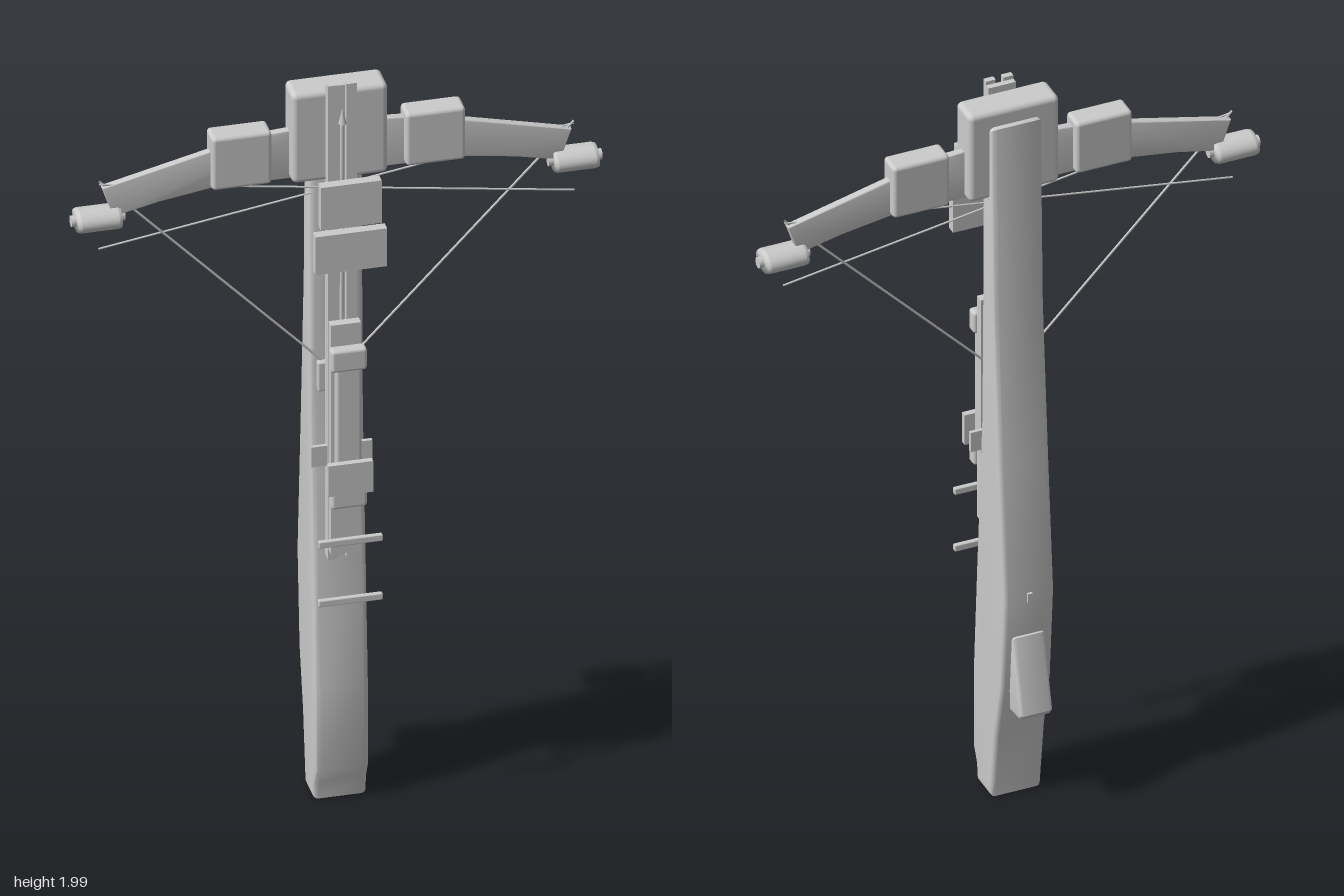
import * as THREE from 'three';
import { RoundedBoxGeometry } from 'three/addons/geometries/RoundedBoxGeometry.js';
import { toCreasedNormals } from 'three/addons/utils/BufferGeometryUtils.js';

const grey = new THREE.MeshStandardMaterial({ color: 0xcccccc });

export function createModel() {
  const model = new THREE.Group();

  const add = (name, geometry) => {
    const mesh = new THREE.Mesh(geometry, grey);
    mesh.name = name;
    model.add(mesh);
    return mesh;
  };

  // Box given by its extents on each axis, with optional rounded edges
  const box = (name, [x0, x1], [y0, y1], [z0, z1], r = 0) => {
    const w = x1 - x0, h = y1 - y0, d = z1 - z0;
    const g = r ? new RoundedBoxGeometry(w, h, d, 3, r) : new THREE.BoxGeometry(w, h, d);
    return add(name, g.translate((x0 + x1) / 2, (y0 + y1) / 2, (z0 + z1) / 2));
  };

  // Outline pulled to a centred thickness with softened edges
  const slab = (points, thickness, bevel) => {
    const shape = new THREE.Shape(points.map(([u, v]) => new THREE.Vector2(u, v)));
    const depth = thickness - 2 * bevel;
    const g = new THREE.ExtrudeGeometry(shape, {
      depth, bevelEnabled: bevel > 0, bevelSize: bevel, bevelThickness: bevel,
      bevelOffset: -bevel, bevelSegments: 3,
    });
    return toCreasedNormals(g.translate(0, 0, -depth / 2), 0.6);
  };
  // Side outlines are (z, y) and are pulled along x
  const sideSlab = (points, width, bevel) => slab(points, width, bevel).rotateY(-Math.PI / 2);

  // Straight thin rod between two points
  const wire = (name, a, b, r) =>
    add(name, new THREE.TubeGeometry(new THREE.LineCurve3(new THREE.Vector3(...a), new THREE.Vector3(...b)), 1, r, 8));

  // Stock with the butt at the bottom
  add('stock', sideSlab([
    [-0.035, 0], [0.05, 0], [0.055, 0.045], [0.073, 0.085], [0.073, 0.32], [0.055, 0.6],
    [0.035, 0.88], [0.024, 1.05], [0.02, 1.25], [0.012, 1.92], [-0.042, 1.92],
    [-0.054, 1.4], [-0.085, 0.98], [-0.115, 0.61], [-0.095, 0.35], [-0.06, 0.19], [-0.04, 0.04],
  ], 0.132, 0.012));

  // Grip lever and pin on the back
  add('gripLever', sideSlab([
    [-0.08, 0.5], [-0.09, 0.28], [-0.15, 0.285], [-0.161, 0.3], [-0.112, 0.495],
  ], 0.084, 0.008));
  box('backPin', [-0.006, 0.006], [0.595, 0.62], [-0.121, -0.105]);

  // Rail with a groove along its middle
  box('railBase', [-0.036, 0.036], [0.675, 1.98], [0.047, 0.062]);
  for (const s of [-1, 1]) {
    const [a, b] = [s * 0.01, s * 0.036].sort((p, q) => p - q);
    box('railStrip', [a, b], [0.675, 1.99], [0.062, 0.077]);
  }
  const tip = add('boltTip', new THREE.ConeGeometry(0.01, 0.045, 10));
  tip.position.set(0, 1.905, 0.077);
  wire('boltShaft', [0, 1.2, 0.067], [0, 1.885, 0.073], 0.005);
  box('latchPlate', [-0.075, 0.075], [0.935, 0.99], [0.062, 0.072]);
  box('stringCatch', [-0.05, 0.05], [1.12, 1.2], [0.015, 0.037], 0.004);

  // Riser block
  box('riser', [-0.118, 0.118], [1.715, 1.963], [-0.028, 0.055], 0.014);

  // Limbs, pockets, wheels and strings on both sides
  for (const s of [-1, 1]) {
    const limb = [
      [0.08, 1.715], [0.31, 1.715], [0.44, 1.695], [0.55, 1.67],
      [0.578, 1.752], [0.31, 1.817], [0.16, 1.845], [0.08, 1.85],
    ].map(([x, y]) => [s * x, y]);
    add('limb', slab(limb, 0.02, 0.003).translate(0, 0, 0.012));

    const [a, b] = [s * 0.165, s * 0.312].sort((p, q) => p - q);
    box('limbPocket', [a, b], [1.718, 1.863], [-0.02, 0.044], 0.01);

    // Oval wheel on a thin axle, lying along x
    const profile = [[0, -0.054], [0.92, -0.054], [1, -0.046], [1, 0.046], [0.92, 0.054], [0, 0.054]];
    const wheel = toCreasedNormals(new THREE.LatheGeometry(profile.map(p => new THREE.Vector2(...p)), 32), 0.6);
    wheel.rotateZ(Math.PI / 2).scale(1, 0.029, 0.04);
    add('wheel', wheel).position.set(s * 0.587, 1.667, 0.012);
    const axle = new THREE.CylinderGeometry(0.014, 0.014, 0.132, 16).rotateZ(Math.PI / 2);
    add('axle', axle).position.set(s * 0.587, 1.667, 0.012);

    wire('bowString', [s * 0.585, 1.77, 0.013], [0, 1.16, 0.02], 0.003);
    wire('crossCable', [s * 0.585, 1.58, 0.014 + s * 0.003], [s * -0.585, 1.762, 0.014 + s * 0.003], 0.0025);
  }

  // Sight mounted in front of the rail
  box('sightBase', [-0.037, 0.037], [0.71, 1.345], [0.088, 0.111]);
  box('sightBody', [-0.032, 0.032], [0.87, 1.28], [0.117, 0.142], 0.008);
  box('sightFrontEnd', [-0.044, 0.044], [1.232, 1.292], [0.115, 0.147], 0.008);
  box('sightRearEnd', [-0.044, 0.044], [0.853, 0.91], [0.115, 0.147], 0.008);
  box('sightDial', [-0.055, 0.055], [0.9, 0.985], [0.144, 0.16]);

  // Front plates and cross rods
  box('upperPlate', [-0.075, 0.075], [1.645, 1.763], [0.138, 0.163]);
  box('lowerPlate', [-0.088, 0.088], [1.523, 1.628], [0.138, 0.163]);
  for (const y of [0.605, 0.768])
    box('crossRod', [-0.079, 0.079], [y - 0.009, y + 0.009], [0.147, 0.16], 0.003);

  return model;
}
